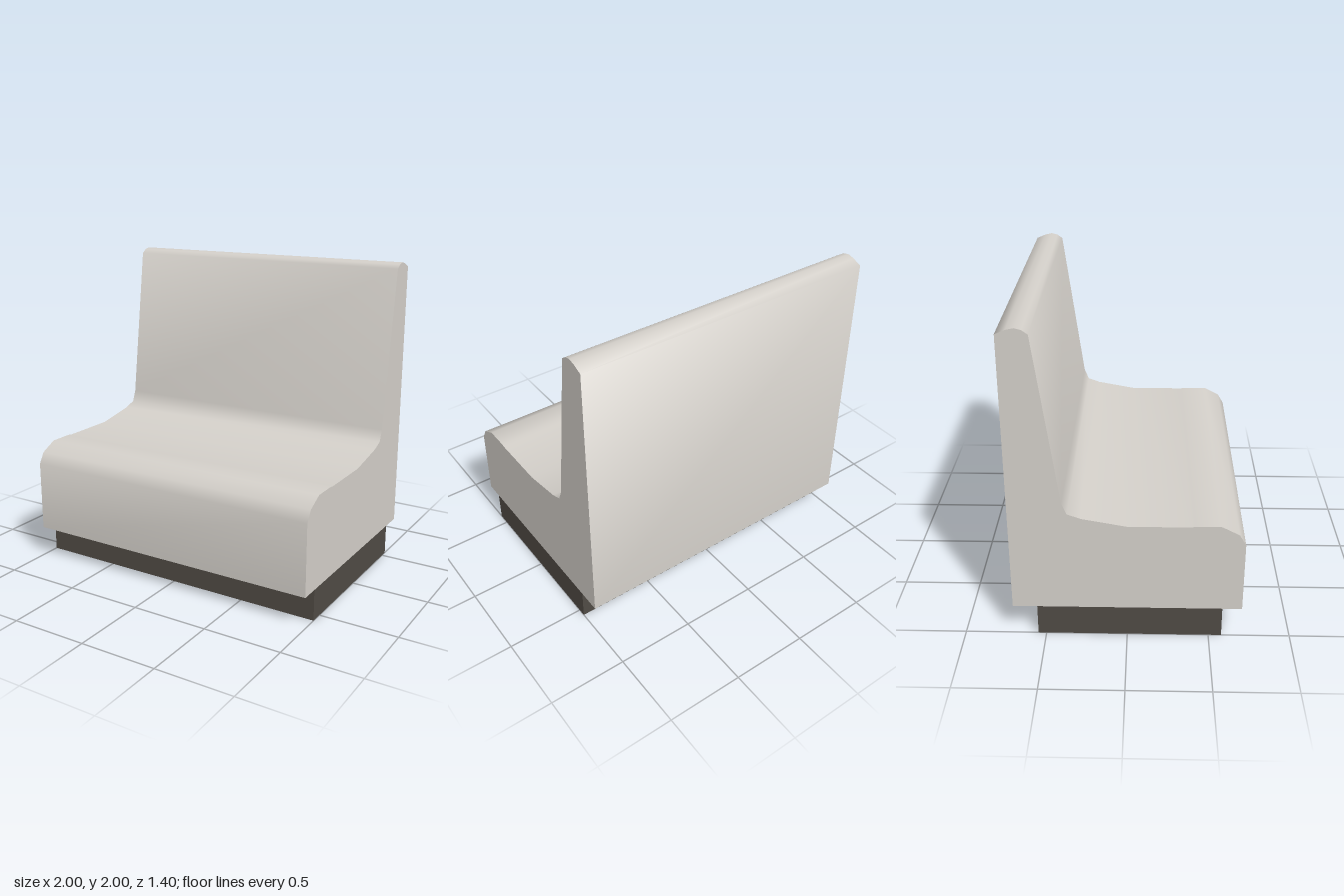
import * as THREE from 'three';
import { toCreasedNormals } from 'three/addons/utils/BufferGeometryUtils.js';

const WIDTH = 2;

export function createModel() {
  const model = new THREE.Group();
  model.name = 'benchSeat';

  const upholstery = new THREE.MeshStandardMaterial({ name: 'warm grey upholstery', color: 0xd3cfc9 });
  const plinthPaint = new THREE.MeshStandardMaterial({ name: 'dark brown plinth', color: 0x504b45 });

  // Side profile as (z, y): front edge, cushion, backrest, back
  const profile = [
    [0.7, 0.2], [0.7, 0.66], [0.66, 0.73], [0.555, 0.785], [0.4, 0.785], [0.37, 0.78],
    [0, 0.78], [-0.27, 0.83], [-0.35, 0.86], [-0.38, 0.935],
    [-0.52, 1.965], [-0.555, 1.99], [-0.595, 2], [-0.64, 1.99], [-0.7, 1.965], [-0.7, 0.2],
  ].map(([z, y]) => new THREE.Vector2(z, y));

  // Extrude the profile across the width; rounded edges smooth, ends and underside sharp
  const body = new THREE.ExtrudeGeometry(new THREE.Shape(profile), { depth: WIDTH, bevelEnabled: false });
  body.translate(0, 0, -WIDTH / 2);
  body.rotateY(-Math.PI / 2);
  const seat = new THREE.Mesh(toCreasedNormals(body, THREE.MathUtils.degToRad(80)), upholstery);
  seat.name = 'seatAndBackrest';

  // Recessed plinth under the seat
  const plinth = new THREE.Mesh(new THREE.BoxGeometry(WIDTH, 0.2, 1.13), plinthPaint);
  plinth.name = 'plinth';
  plinth.position.set(0, 0.1, 0.015);

  model.add(seat, plinth);
  return model;
}
